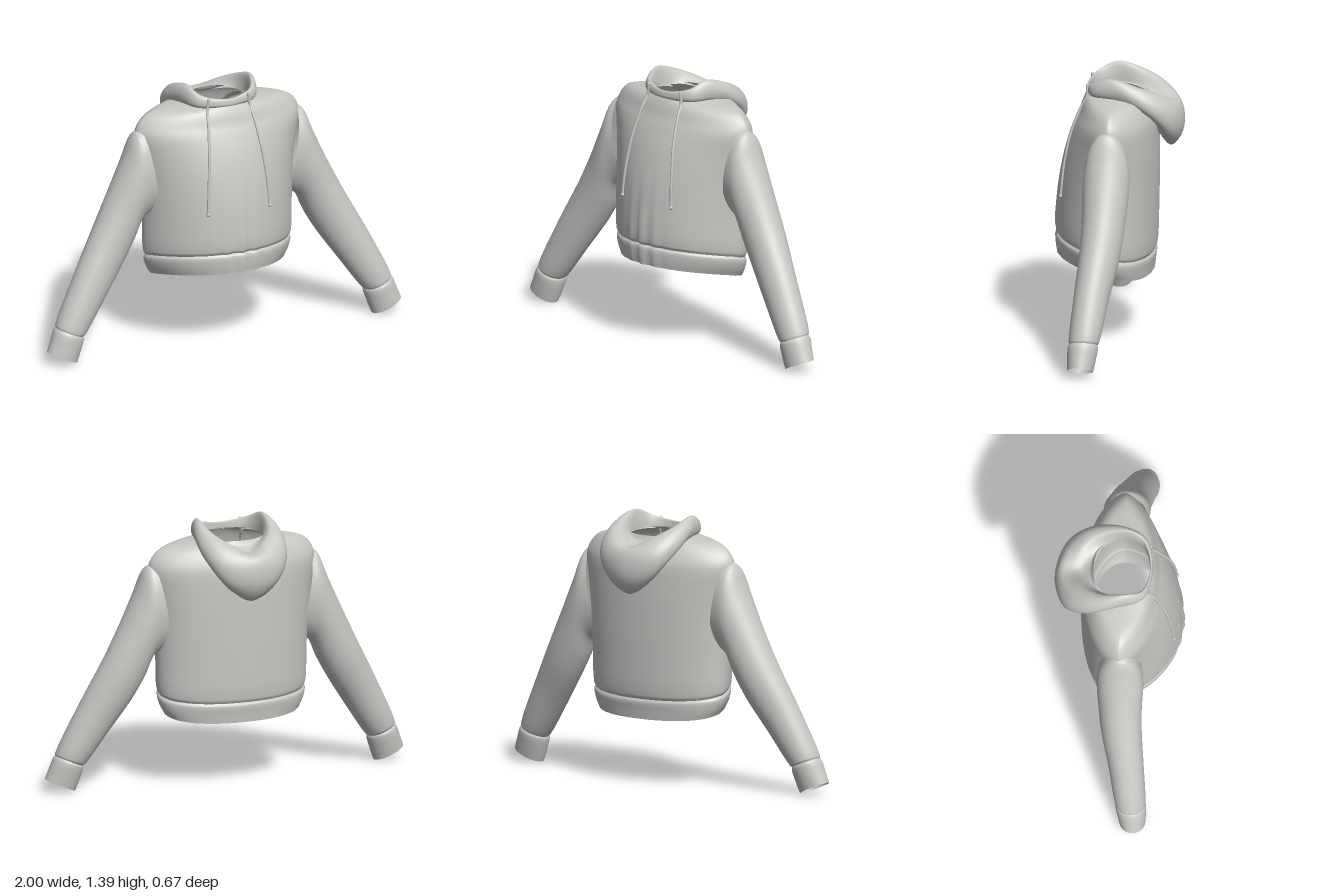
import * as THREE from 'three';

const fabric = new THREE.MeshStandardMaterial({ color: 0xc8c7c4, side: THREE.DoubleSide });
fabric.name = 'grey fabric';

// Skin over a list of closed rings (arrays of Vector3), smoothed lengthwise
function loft(rings, steps = 4) {
  const cols = rings[0].length, rows = (rings.length - 1) * steps + 1;
  const pos = [], idx = [];
  const curves = rings[0].map((_, c) => new THREE.CatmullRomCurve3(rings.map(r => r[c])));
  for (let r = 0; r < rows; r++)
    for (const curve of curves) pos.push(...curve.getPoint(r / (rows - 1)).toArray());
  for (let r = 0; r < rows - 1; r++)
    for (let c = 0; c < cols; c++) {
      const a = r * cols + c, b = r * cols + (c + 1) % cols;
      idx.push(a, a + cols, b, b, a + cols, b + cols);
    }
  const g = new THREE.BufferGeometry();
  g.setAttribute('position', new THREE.Float32BufferAttribute(pos, 3));
  g.setIndex(idx);
  g.computeVertexNormals();
  return g;
}

function addPart(group, name, geometry, mirrored = false) {
  const mesh = new THREE.Mesh(geometry, fabric);
  mesh.name = name;
  if (mirrored) mesh.scale.x = -1;
  group.add(mesh);
}

function ringOf(count, fn) {
  return Array.from({ length: count }, (_, i) => fn(i / count * Math.PI * 2));
}

// Torso sections: front y, back y, half width, front z, back z, front and back pointedness
const hemRows = [
  [0.43, 0.342, 0.37, 0.322, -0.176, 1.3, 0.9],
  [0.475, 0.387, 0.395, 0.328, -0.181, 1.3, 0.95],
  [0.522, 0.432, 0.406, 0.328, -0.186, 1.3, 1],
  [0.535, 0.447, 0.397, 0.318, -0.178, 1.3, 1],
];
const torsoRows = [
  [0.535, 0.447, 0.397, 0.318, -0.178, 1.3, 1],
  [0.555, 0.467, 0.408, 0.329, -0.188, 1.3, 1],
  [0.72, 0.66, 0.415, 0.325, -0.197, 1.3, 1],
  [0.9, 0.87, 0.425, 0.302, -0.2, 1.3, 1],
  [1.05, 1.03, 0.445, 0.265, -0.2, 1.3, 1.05],
  [1.15, 1.15, 0.463, 0.228, -0.195, 1.3, 1.15],
  [1.2, 1.2, 0.45, 0.205, -0.182, 1.4, 1.25],
  [1.245, 1.245, 0.412, 0.19, -0.165, 1.5, 1.4],
  [1.268, 1.268, 0.36, 0.18, -0.152, 1.5, 1.4],
  [1.28, 1.28, 0.28, 0.174, -0.142, 1.3, 1.2],
  [1.295, 1.295, 0.17, 0.165, -0.135, 1, 1],
];
const midZ = 0.015;

function torsoRing([yF, yB, hw, zF, zB, eF, eB]) {
  return ringOf(112, a => {
    const s = Math.sin(a), x = hw * Math.cos(a);
    const y = yB + (yF - yB) * ((1 + s) / 2) ** 1.3;
    let z = midZ + (s > 0 ? (zF - midZ) * s ** eF : (zB - midZ) * (-s) ** eB);
    // soft gathers in the lower middle of the front
    const fade = THREE.MathUtils.clamp((0.95 - y) / 0.4, 0, 1);
    if (s > 0) z += 0.008 * fade * Math.cos(x * 75) * Math.exp(-((x / 0.11) ** 2));
    return new THREE.Vector3(x, y, z);
  });
}

// Front surface depth, used to lay the cords on the chest
function frontZ(x, y) {
  let i = 0;
  while (i < torsoRows.length - 2 && torsoRows[i + 1][0] < y) i++;
  const t = THREE.MathUtils.clamp((y - torsoRows[i][0]) / (torsoRows[i + 1][0] - torsoRows[i][0]), 0, 1);
  const [, , hw, zF, , eF] = torsoRows[i].map((v, k) => v + (torsoRows[i + 1][k] - v) * t);
  return midZ + (zF - midZ) * Math.max(0, 1 - (x / hw) ** 2) ** (eF / 2);
}

// Sleeve sections: outer x, y, inner x, y, centre z, half depth
const sleeveRows = [
  [0.44, 1.18, 0.36, 0.74, 0.02, 0.11],
  [0.476, 1.163, 0.408, 0.715, 0.02, 0.118],
  [0.53, 1.04, 0.445, 0.69, 0.022, 0.12],
  [0.61, 0.87, 0.49, 0.59, 0.025, 0.112],
  [0.7, 0.69, 0.56, 0.47, 0.035, 0.105],
  [0.825, 0.455, 0.67, 0.31, 0.064, 0.091],
  [0.945, 0.205, 0.79, 0.143, 0.09, 0.078],
  [0.945, 0.192, 0.802, 0.134, 0.092, 0.072],
];
const cuffRows = [
  [0.945, 0.192, 0.802, 0.134, 0.092, 0.072],
  [0.956, 0.18, 0.8, 0.121, 0.093, 0.078],
  [0.978, 0.125, 0.818, 0.06, 0.098, 0.074],
  [1.0, 0.07, 0.84, 0.0, 0.103, 0.067],
];

function sleeveRing([ox, oy, ix, iy, zc, zh]) {
  return ringOf(40, a => {
    const k = (1 + Math.cos(a)) / 2;
    return new THREE.Vector3(ix + (ox - ix) * k, iy + (oy - iy) * k, zc + zh * Math.sin(a));
  });
}

// Hood folds from front to back: neck, inner wall, rim, outer roll, fold, underside
const hoodFolds = [
  [[0, 1.295, 0.158], [0, 1.31, 0.158], [0, 1.328, 0.16], [0, 1.327, 0.166],
    [0, 1.318, 0.17], [0, 1.307, 0.172], [0, 1.298, 0.172], [0, 1.29, 0.168]],
  [[0.118, 1.295, 0.12], [0.122, 1.32, 0.12], [0.138, 1.355, 0.122], [0.15, 1.352, 0.128],
    [0.159, 1.335, 0.132], [0.162, 1.31, 0.132], [0.158, 1.295, 0.128], [0.145, 1.285, 0.122]],
  [[0.162, 1.29, 0.02], [0.164, 1.34, 0.02], [0.175, 1.393, 0.035], [0.198, 1.383, 0.02],
    [0.214, 1.35, 0.01], [0.217, 1.318, 0], [0.207, 1.29, 0], [0.18, 1.28, 0.01]],
  [[0.12, 1.285, -0.09], [0.132, 1.31, -0.11], [0.16, 1.345, -0.12], [0.2, 1.335, -0.14],
    [0.23, 1.285, -0.155], [0.225, 1.225, -0.17], [0.195, 1.2, -0.17], [0.14, 1.24, -0.13]],
  [[0.06, 1.28, -0.12], [0.068, 1.275, -0.165], [0.1, 1.3, -0.205], [0.145, 1.285, -0.24],
    [0.17, 1.215, -0.275], [0.152, 1.12, -0.28], [0.115, 1.07, -0.25], [0.07, 1.15, -0.18]],
  [[0, 1.28, -0.13], [0, 1.25, -0.19], [0, 1.25, -0.25], [0, 1.242, -0.305],
    [0, 1.19, -0.33], [0, 1.08, -0.325], [0, 1.005, -0.265], [0, 1.08, -0.19]],
];

function hoodRing(_, i) {
  const half = hoodFolds.map(f => new THREE.Vector3(...f[i]));
  const other = half.slice(1, -1).reverse().map(p => new THREE.Vector3(-p.x, p.y, p.z));
  const curve = new THREE.CatmullRomCurve3([...half, ...other], true);
  return ringOf(80, a => curve.getPoint(a / (Math.PI * 2)));
}

export function createModel() {
  const model = new THREE.Group();
  model.name = 'hooded sweatshirt';

  addPart(model, 'torso', loft(torsoRows.map(torsoRing)));
  addPart(model, 'hemBand', loft(hemRows.map(torsoRing)));
  addPart(model, 'hood', loft(hoodFolds[0].map(hoodRing)));

  // Cord from the collar down the chest
  const path = [];
  for (let i = 0; i <= 10; i++) {
    const t = i / 10, y = 0.76 + 0.58 * t, x = 0.174 - 0.062 * t ** 1.4;
    path.push(new THREE.Vector3(x, y, Math.max(frontZ(x, y) + 0.004, 0.158)));
  }
  const cord = new THREE.TubeGeometry(new THREE.CatmullRomCurve3(path), 50, 0.008, 8);
  const tip = new THREE.SphereGeometry(0.011, 12, 8).translate(...path[0].toArray());
  const cordEnd = new THREE.SphereGeometry(0.008, 8, 6).translate(...path[10].toArray());

  const sleeve = loft(sleeveRows.map(sleeveRing));
  const cuff = loft(cuffRows.map(sleeveRing));
  for (const [side, mirrored] of [['left', false], ['right', true]]) {
    addPart(model, side + 'Sleeve', sleeve, mirrored);
    addPart(model, side + 'Cuff', cuff, mirrored);
    addPart(model, side + 'Drawstring', cord, mirrored);
    addPart(model, side + 'DrawstringTip', tip, mirrored);
    addPart(model, side + 'DrawstringTop', cordEnd, mirrored);
  }
  return model;
}
